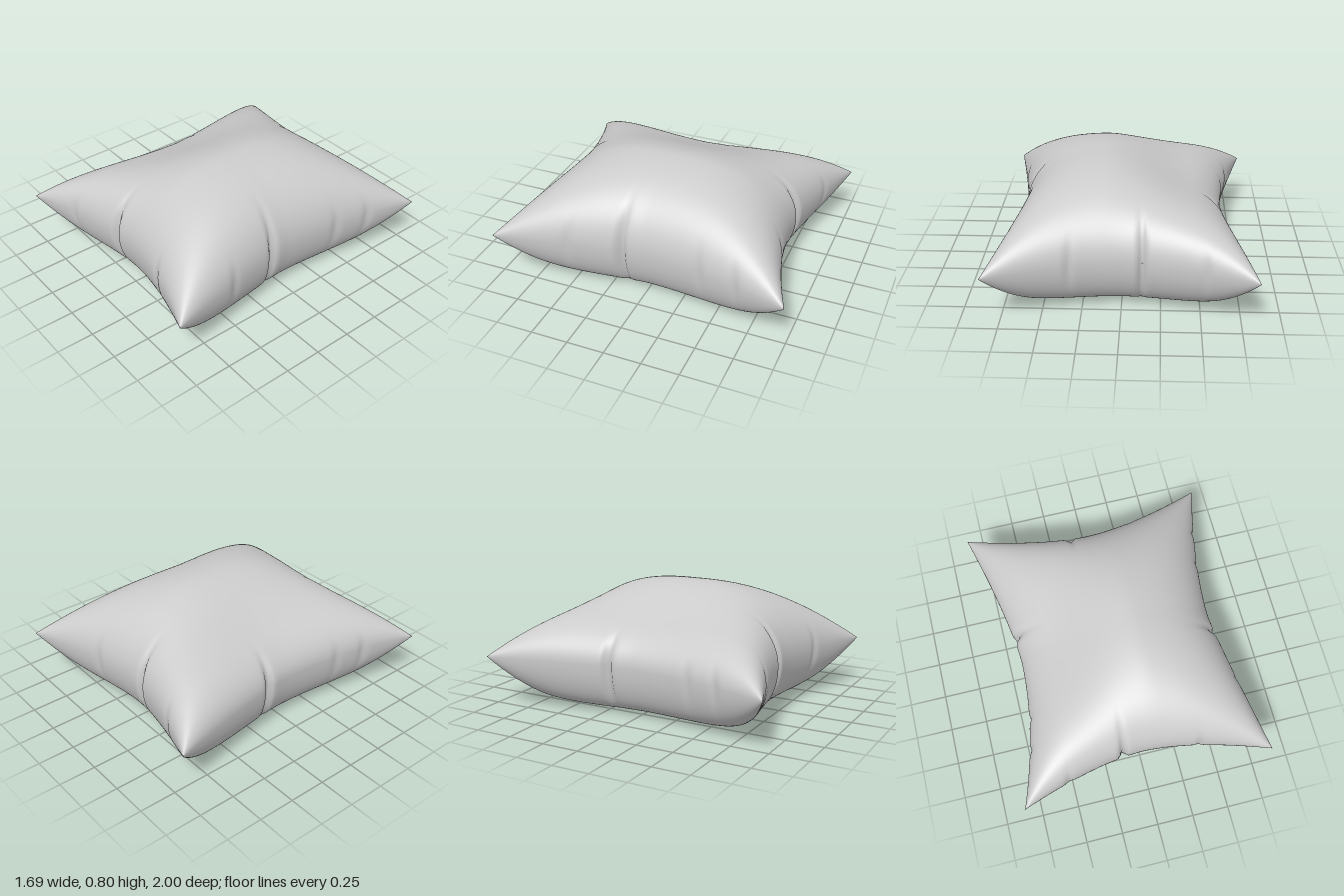
import * as THREE from 'three';

const SEGMENTS = 140;
const SEAM_Y = 0.345;

// Each side: waist half-width, corner half-width, curve power on the - and + half,
// and pinches as [position, depth, width, fade], a high fade keeping them close to the seam
const SIDES = {
  left: { waist: 0.68, corner: 0.845, neg: 1.7, pos: 1.25, pinches: [[0.14, 0.045, 0.024, 7], [-0.4, 0.014, 0.03, 30], [-0.65, 0.014, 0.03, 30], [0.5, 0.012, 0.03, 30]] },
  right: { waist: 0.655, corner: 0.845, neg: 1.4, pos: 1.9, pinches: [[-0.17, 0.045, 0.024, 7], [0.42, 0.012, 0.03, 30], [0.63, 0.014, 0.03, 30]] },
  front: { waist: 0.795, corner: 0.995, neg: 1.7, pos: 1.75, pinches: [[-0.155, 0.045, 0.024, 7], [-0.62, 0.012, 0.03, 30], [0.46, 0.016, 0.03, 30]] },
  back: { waist: 0.795, corner: 1, neg: 1.7, pos: 1.75, pinches: [[-0.155, 0.045, 0.024, 7], [-0.62, 0.01, 0.03, 30], [0.38, 0.016, 0.03, 30]] },
};

// Distance from the middle to a side; pinches fade out away from the seam
function reach(side, along, across) {
  const a = Math.abs(along);
  let r = side.waist + (side.corner - side.waist) * Math.pow(a, along < 0 ? side.neg : side.pos);
  for (const [at, depth, width, fade] of side.pinches) {
    r -= depth * Math.exp(-(((along - at) / width) ** 2)) * Math.abs(across) ** fade;
  }
  return r;
}

const bulge = (t, power) => Math.sqrt(Math.max(0, 1 - Math.abs(t) ** power));

// Top: a ridge off centre towards +x; the other half sags in the middle, fuller at its corners
function topHeight(u, v, x) {
  const slump = 1 - THREE.MathUtils.smoothstep(x, -0.45, 0.16);
  const peak = 0.465 * (1 - 0.33 * slump * (1 - v * v));
  return SEAM_Y + peak * bulge(u, 2.5) * bulge(v, 2.5);
}

// Underside: bulges down and flattens where it rests on the ground
function bottomHeight(u, v) {
  const p = 1.25 * bulge(u, 4) * bulge(v, 3.7);
  const flat = 1.037 * p / Math.pow(1 + p ** 6, 1 / 6);
  return SEAM_Y * Math.max(0, 1 - flat);
}

// Bend a flat grid into one half of the cushion
function panel(name, zSign, height, material) {
  const geometry = new THREE.PlaneGeometry(2, 2, SEGMENTS, SEGMENTS);
  const pos = geometry.attributes.position;
  for (let i = 0; i < pos.count; i++) {
    // Closer spacing towards the seam
    const u = Math.sin(pos.getX(i) * Math.PI / 2);
    const v = Math.sin(zSign * pos.getY(i) * Math.PI / 2);
    const x = u * reach(u > 0 ? SIDES.left : SIDES.right, v, u);
    const z = v * reach(v > 0 ? SIDES.front : SIDES.back, u, v);
    pos.setXYZ(i, x, height(u, v, x), z);
  }
  geometry.computeVertexNormals();
  const mesh = new THREE.Mesh(geometry, material);
  mesh.name = name;
  return mesh;
}

export function createModel() {
  const group = new THREE.Group();
  group.name = 'pillow';
  const material = new THREE.MeshStandardMaterial({ color: 0xcccccc });
  group.add(panel('topPanel', -1, topHeight, material));
  group.add(panel('bottomPanel', 1, bottomHeight, material));
  return group;
}
